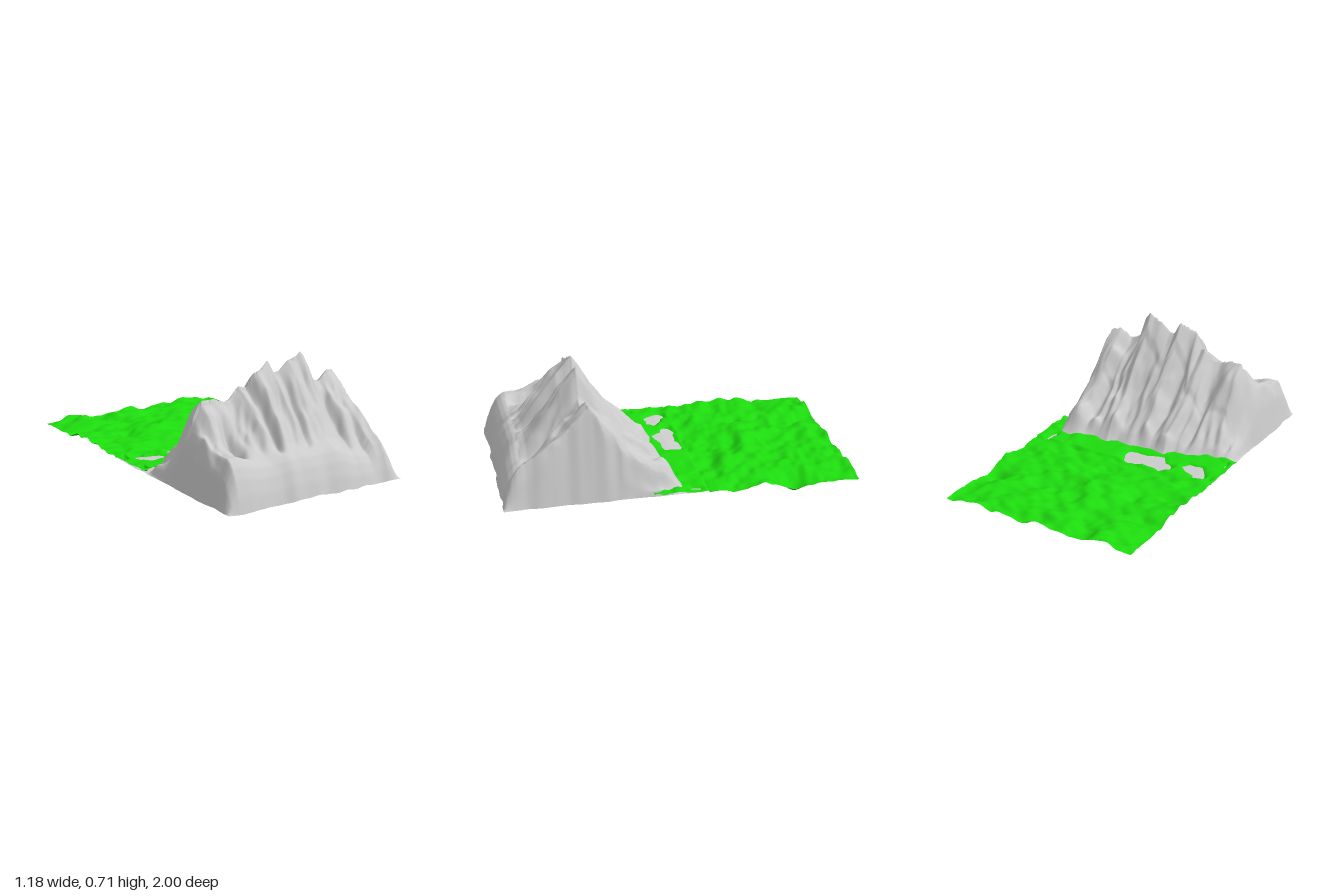
import * as THREE from 'three';

// Piecewise-linear lookup through [x, value] points
function lerpTable(t, x) {
  if (x <= t[0][0]) return t[0][1];
  for (let i = 1; i < t.length; i++) {
    if (x <= t[i][0]) {
      const [x0, a] = t[i - 1], [x1, b] = t[i];
      return a + (b - a) * (x - x0) / (x1 - x0);
    }
  }
  return t[t.length - 1][1];
}

// Smooth seeded value noise, -1..1
function hash(i, j, s) {
  const v = Math.sin(i * 127.1 + j * 311.7 + s * 74.7) * 43758.5453;
  return (v - Math.floor(v)) * 2 - 1;
}
function noise(x, y, s) {
  const i = Math.floor(x), j = Math.floor(y);
  let u = x - i, v = y - j;
  u = u * u * (3 - 2 * u);
  v = v * v * (3 - 2 * v);
  const a = hash(i, j, s) * (1 - u) + hash(i + 1, j, s) * u;
  const b = hash(i, j + 1, s) * (1 - u) + hash(i + 1, j + 1, s) * u;
  return a * (1 - v) + b * v;
}
const { clamp, smoothstep, lerp } = THREE.MathUtils;
const bump = (x, z, cx, cz, rx, rz) => Math.exp(-(((x - cx) / rx) ** 2) - ((z - cz) / rz) ** 2);

const BASE = 0.05, CREST = 0.865;

// Skyline height, front shelf height, ridge position and back foot, all along x
const skyline = [[-0.57, 0.05], [-0.55, 0.21], [-0.52, 0.32], [-0.48, 0.42], [-0.43, 0.5], [-0.35, 0.51],
  [-0.29, 0.49], [-0.25, 0.505], [-0.19, 0.56], [-0.155, 0.55], [-0.12, 0.63], [-0.08, 0.645], [-0.01, 0.685],
  [0.03, 0.61], [0.06, 0.615], [0.12, 0.67], [0.17, 0.68], [0.2, 0.705], [0.23, 0.67], [0.27, 0.55], [0.33, 0.52],
  [0.4, 0.575], [0.47, 0.56], [0.5, 0.47], [0.53, 0.25], [0.55, 0.05]];
const shelf = [[-0.57, 0.05], [-0.54, 0.2], [-0.5, 0.305], [-0.42, 0.295], [-0.3, 0.265], [-0.1, 0.285], [0.02, 0.275],
  [0.15, 0.28], [0.22, 0.265], [0.28, 0.23], [0.38, 0.215], [0.42, 0.27], [0.47, 0.285], [0.51, 0.2], [0.55, 0.05]];
const ridgeZ = [[-0.57, 0.5], [-0.3, 0.53], [-0.2, 0.52], [-0.1, 0.56], [0, 0.53], [0.2, 0.535], [0.3, 0.54],
  [0.45, 0.515], [0.55, 0.5]];
const footZ = [[-0.57, 0.17], [-0.4, 0.14], [-0.3, 0.1], [-0.22, 0.1], [-0.18, 0.04], [-0.08, 0.06], [0.05, 0.05],
  [0.15, 0.06], [0.2, 0.02], [0.3, 0.03], [0.4, 0], [0.5, -0.01], [0.55, 0.02]];
// Rise from shelf to ridge, at the flatter left end and elsewhere
const shelfRise = [[0, 0], [0.2, 0.03], [0.35, 0.1], [0.5, 0.25], [0.65, 0.48], [0.8, 0.75], [1, 1]];
const frontRise = [[0, 0], [0.12, 0.08], [0.25, 0.22], [0.4, 0.4], [0.55, 0.57], [0.72, 0.78], [0.9, 0.93], [1, 1]];
const wall = [[0.865, 1], [0.885, 0.96], [0.91, 0.86], [0.94, 0.65], [0.97, 0.33], [0.99, 0]];
const backRise = [[0, 0], [0.1, 0.11], [0.25, 0.24], [0.5, 0.47], [0.75, 0.75], [1, 1]];
// Small knolls on the back slope: [x, z, radius, height]
const knolls = [[0.43, 0.09, 0.06, 0.06], [0.32, 0.09, 0.035, 0.035], [0.18, 0.11, 0.04, 0.04], [-0.02, 0.12, 0.03, 0.03],
  [-0.15, 0.1, 0.03, 0.03], [-0.42, 0.43, 0.07, 0.05], [0.36, 0.4, 0.04, 0.04], [-0.3, 0.28, 0.05, 0.02]];
// Front gullies: [x, depth]
const gullies = [[-0.36, 0.04], [-0.15, 0.07], [0.05, 0.06], [0.31, 0.05], [0.42, 0.02]];

function mountainHeight(x, z) {
  const ends = clamp(Math.min(x + 0.57, 0.55 - x) * 10, 0, 1);
  const R = lerpTable(skyline, x), F = Math.min(R, lerpTable(shelf, x) + 0.006 * ends * noise(x * 20, 0, 32));
  const zr = lerpTable(ridgeZ, x), zf = lerpTable(footZ, x);
  // Low apron tucked beneath the grass
  const apron = BASE + 0.012 * clamp((z + 0.12) * 12, 0, 1) * ends;
  if (z < zf) return apron;
  if (z > CREST) {
    const low = BASE - 0.003 + 0.006 * noise(x * 9, 0, 4);
    return low + (F - low) * lerpTable(wall, z) + 0.005 * noise(x * 16, z * 2, 5) * ends;
  }
  const front = z > zr;
  const wx = x + 0.025 * noise(x * 5, z * 7, 8);
  let h, t;
  if (front) {
    t = (CREST - z) / (CREST - zr);
    h = F + (R - F) * lerp(lerpTable(shelfRise, t), lerpTable(frontRise, t), smoothstep(x, -0.5, -0.05));
    for (const [gx, d] of gullies) h -= d * Math.sin(Math.PI * t) * bump(wx, 0, gx, 0, 0.025, 1);
  } else {
    t = (z - zf) / (zr - zf);
    // Lower slopes spread wider than the skyline
    const broad = Math.min(R, BASE + (0.25 + 0.75 * t) * 0.7);
    h = apron + (Math.max(R * 0.96, broad) - BASE) * lerpTable(backRise, t);
    for (const [kx, kz, r, k] of knolls) h += k * Math.min(1, t * 8) * bump(x, z, kx, kz, r, r);
  }
  // Ribs and gullies that run down the slopes, broken by small crags
  const fade = Math.sin(Math.PI * t);
  const ribs = 0.042 * noise(wx * 14, z * 2.5, 1) + 0.026 * noise(wx * 28, z * 5, 2)
    + 0.012 * noise(x * 30 + z * 12, z * 16 - x * 9, 6);
  h += ribs * fade;
  // Steep flanks at both ends, creased by shallow runnels
  const side = BASE + Math.min(x + 0.57, 0.55 - x) * (5.6 + 1.2 * noise(z * 16, x * 3, 9));
  return Math.max(BASE, Math.min(h, side));
}

// Bare rock shows where the grass dips: [x, z, radius x, radius z]
const hollows = [[-0.47, -0.06, 0.05, 0.05], [-0.43, -0.035, 0.07, 0.05], [-0.38, -0.02, 0.04, 0.04],
  [-0.24, -0.07, 0.07, 0.05], [-0.17, -0.05, 0.08, 0.065], [-0.08, -0.065, 0.08, 0.055], [-0.03, -0.07, 0.05, 0.06],
  [0.52, -0.07, 0.025, 0.05], [-0.555, -0.1, 0.015, 0.03], [-0.555, 0.12, 0.015, 0.03]];

function grassHeight(x, z) {
  const a = x + 0.1 * z, b = z - 0.15 * x;
  let h = 0.066 + 0.02 * noise(a * 6 + 3, b * 8, 11) + 0.015 * noise(a * 11, b * 15, 12) + 0.007 * noise(a * 20, b * 28, 13);
  h += 0.012 * bump(x, z, 0, -0.5, 2, 0.15);
  // Clear of the rock along its foot except in the hollows
  if (z > -0.13) h = Math.max(h, 0.065 + 0.006 * (1 + noise(a * 14, b * 18, 14)));
  let dip = 0;
  const ex = x + 0.015 * noise(x * 25, z * 25, 15), ez = z + 0.015 * noise(x * 25, z * 25, 16);
  for (const [cx, cz, rx, rz] of hollows) {
    const d = ((ex - cx) / rx) ** 2 + ((ez - cz) / rz) ** 2;
    dip = Math.max(dip, Math.exp(-0.8 * d * d));
  }
  h = lerp(h, 0.045, dip);
  // One deep pit beside the edge
  return Math.max(0, lerp(h, 0, bump(x, z, 0.53, -0.63, 0.07, 0.07)));
}

// Height field sheet over a rectangle
function sheet(name, color, [x0, x1, z0, z1], nx, nz, height, wobble) {
  const geo = new THREE.PlaneGeometry(x1 - x0, z1 - z0, nx, nz).rotateX(-Math.PI / 2);
  geo.translate((x0 + x1) / 2, 0, (z0 + z1) / 2);
  const p = geo.attributes.position;
  for (let i = 0; i < p.count; i++) {
    const x = p.getX(i), z = p.getZ(i);
    p.setXYZ(i, x + wobble * noise(z * 14, x * 3, 21), height(x, z), z + wobble * noise(x * 14, z * 3, 22));
  }
  geo.computeVertexNormals();
  const mesh = new THREE.Mesh(geo, new THREE.MeshStandardMaterial({ color, side: THREE.DoubleSide }));
  mesh.name = name;
  return mesh;
}

export function createModel() {
  const model = new THREE.Group();
  model.name = 'mountainLandscape';
  model.add(sheet('mountain', 0xcccccc, [-0.57, 0.55, -0.12, 0.99], 180, 180, mountainHeight, 0.008));
  model.add(sheet('grassField', 0x1ddb0e, [-0.59, 0.59, -1, 0.175], 130, 130, grassHeight, 0));
  return model;
}
